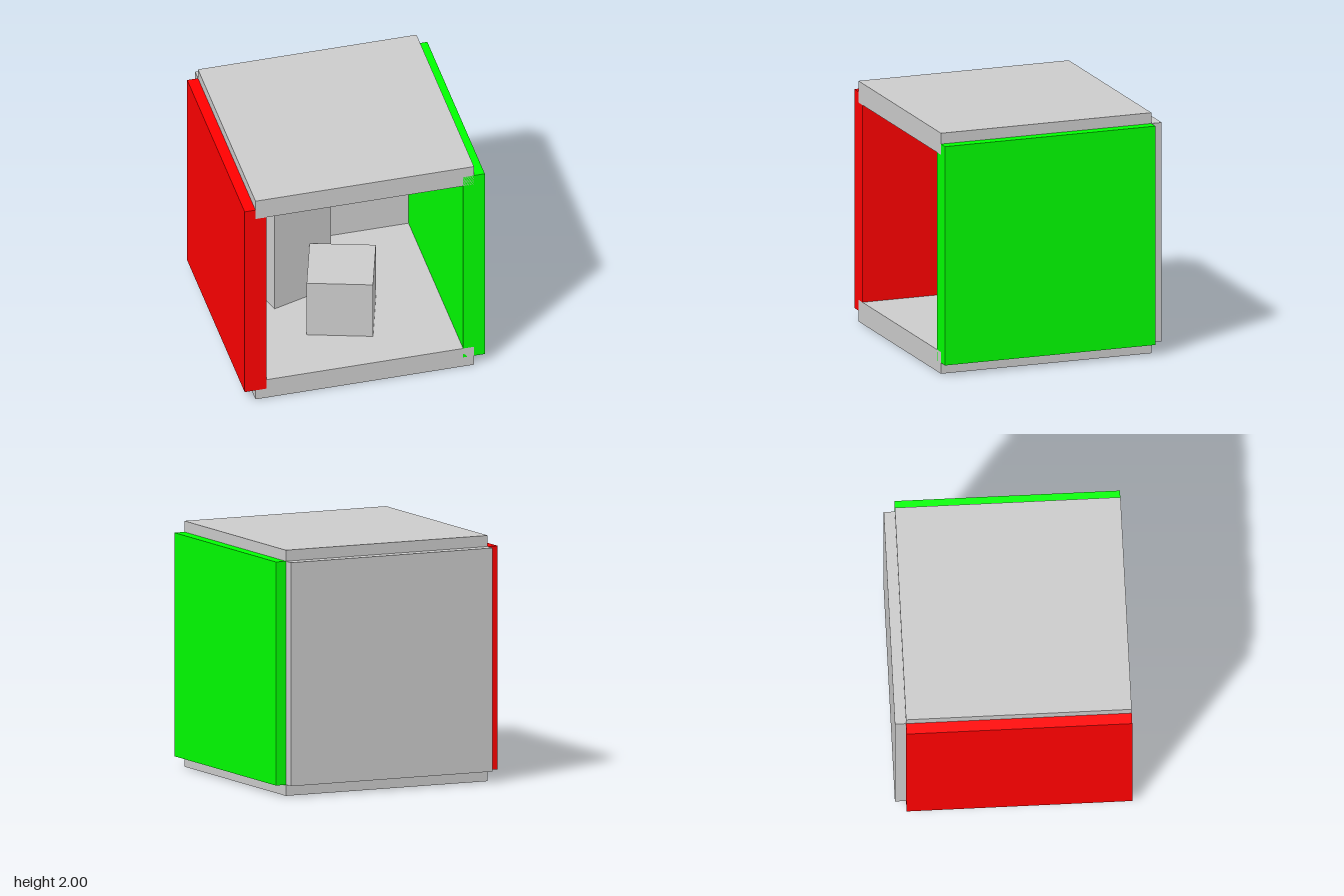
import * as THREE from 'three';

const S = 1.82; // slab side
const T = 0.18; // slab thickness
const MID_Z = 0.045; // middle of the room in depth

export function createModel() {
  const room = new THREE.Group();
  room.name = 'room';

  const grey = new THREE.MeshStandardMaterial({ color: 0xcccccc });
  const red = new THREE.MeshStandardMaterial({ color: 0xff0000 });
  const green = new THREE.MeshStandardMaterial({ color: 0x00ff00 });

  function addBox(name, size, position, material = grey, turn = 0) {
    const mesh = new THREE.Mesh(new THREE.BoxGeometry(...size), material);
    mesh.name = name;
    mesh.position.set(...position);
    mesh.rotation.y = turn;
    room.add(mesh);
  }

  // Five equal slabs, open at the front
  addBox('floor', [S, T, S], [0, T / 2, MID_Z]);
  addBox('ceiling', [S, T, S], [0, 2 - T / 2, MID_Z]);
  addBox('backWall', [S, S, T], [0, 1, -0.955 + T / 2]);
  addBox('rightWall', [T, S, S], [-1 + T / 2, 1, MID_Z], red);
  addBox('leftWall', [T, S, S], [1 - T / 2, 1, MID_Z], green);

  // Lamp panel just below the ceiling
  addBox('ceilingLamp', [0.3, 0.04, 0.3], [0, 1.815, MID_Z]);

  // Two turned blocks standing on the floor
  addBox('tallBlock', [0.535, 1.02, 0.535], [-0.34, T + 0.51, -0.28], grey, 0.31);
  addBox('shortBlock', [0.535, 0.52, 0.535], [-0.018, T + 0.26, 0.28], grey, -0.3);

  return room;
}
